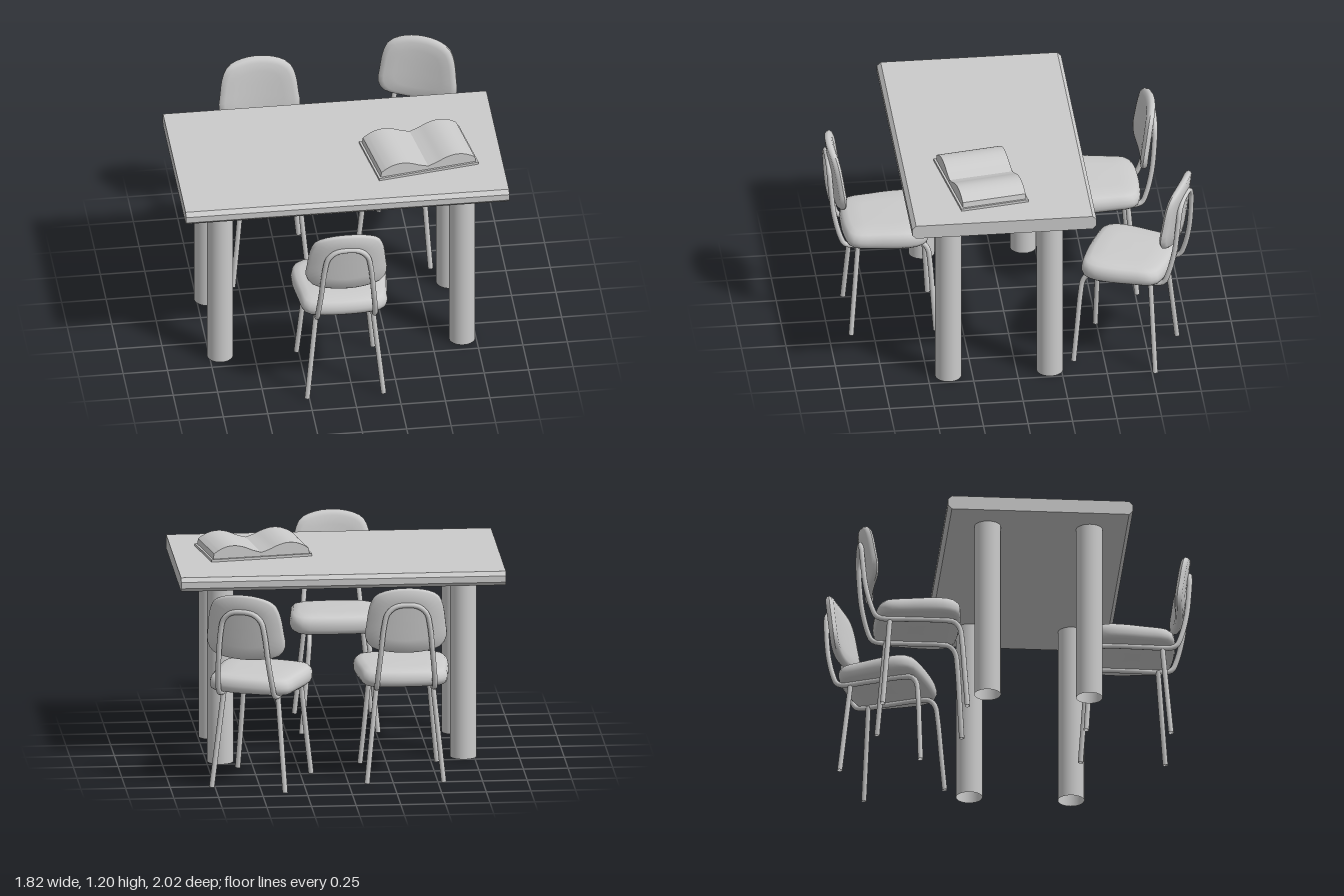
import * as THREE from 'three';
import { toCreasedNormals } from 'three/addons/utils/BufferGeometryUtils.js';

const grey = new THREE.MeshStandardMaterial({ color: 0xcccccc });
const greyOpen = new THREE.MeshStandardMaterial({ color: 0xcccccc, side: THREE.DoubleSide });

function add(parent, name, geometry, material = grey) {
  const mesh = new THREE.Mesh(geometry, material);
  mesh.name = name;
  parent.add(mesh);
  return mesh;
}

// Closed symmetric outline from its right half, listed bottom to top
function outline(half, count) {
  const right = half.map(([a, b]) => new THREE.Vector3(a, b, 0));
  const left = half.map(([a, b]) => new THREE.Vector3(-a, b, 0)).reverse();
  return new THREE.CatmullRomCurve3([...right, ...left], true).getSpacedPoints(count).slice(0, count);
}

// Cushion: outline shrunk towards its middle at each [scale, height] ring, placed by a rule
function cushion(points, middle, rings, place) {
  const n = points.length, pos = [], index = [];
  for (const [s, h] of rings)
    for (const p of points) pos.push(...place(p.x * s, middle + (p.y - middle) * s, h));
  for (let r = 0; r < rings.length - 1; r++)
    for (let j = 0; j < n; j++) {
      const k = (j + 1) % n, a = r * n, b = a + n;
      index.push(a + j, b + j, b + k, a + j, b + k, a + k);
    }
  const g = new THREE.BufferGeometry();
  g.setAttribute('position', new THREE.Float32BufferAttribute(pos, 3));
  g.setIndex(index);
  g.computeVertexNormals();
  return toCreasedNormals(g, 0.9);
}

function tube(points, segments, radius = 0.015) {
  const curve = new THREE.CatmullRomCurve3(points.map(p => new THREE.Vector3(...p)));
  return new THREE.TubeGeometry(curve, segments, radius, 10);
}

// Chair facing +z, with its back feet on z = 0
function createChair(name) {
  const chair = new THREE.Group();
  chair.name = name;

  // Seat pad, wider at the front
  const seatLine = outline([[0.12, -0.443], [0.22, -0.425], [0.258, -0.37], [0.265, -0.28],
    [0.25, -0.13], [0.237, -0.03], [0.215, 0.005], [0.12, 0.03]], 44);
  add(chair, 'seat', cushion(seatLine, -0.2,
    [[0.001, 0.658], [0.5, 0.657], [0.8, 0.654], [0.92, 0.645], [0.98, 0.628], [1, 0.605],
      [1, 0.585], [0.975, 0.568], [0.93, 0.557], [0.001, 0.557]],
    (x, b, h) => [x, h + (h > 0.6 ? -(b + 0.2) * 0.03 : 0), -b]));

  // Curved, leaning backrest
  const backLine = outline([[0.09, 0.768], [0.195, 0.795], [0.228, 0.85], [0.222, 0.93],
    [0.205, 1.04], [0.175, 1.1], [0.08, 1.138]], 40);
  add(chair, 'backrest', cushion(backLine, 0.95,
    [[0.001, 0.026], [0.3, 0.026], [0.6, 0.025], [0.85, 0.022], [0.95, 0.014], [1, 0],
      [0.985, -0.015], [0.94, -0.024], [0.6, -0.025], [0.3, -0.025], [0.001, -0.025]],
    (x, y, h) => [x, y, h - 0.055 - (y - 0.77) * 0.12 + 0.6 * x * x]));

  // One bent tube: front leg, seat rail, arch behind the backrest, and down again
  const side = [[0.215, 0, 0.475], [0.195, 0.2, 0.462], [0.175, 0.42, 0.447], [0.168, 0.5, 0.435],
    [0.164, 0.538, 0.405], [0.162, 0.548, 0.35], [0.162, 0.548, 0.15], [0.162, 0.548, 0],
    [0.162, 0.562, -0.033], [0.16, 0.61, -0.056], [0.147, 0.75, -0.09], [0.128, 0.93, -0.108],
    [0.11, 1.0, -0.112], [0.065, 1.04, -0.114]];
  const mirrored = side.map(([x, y, z]) => [-x, y, z]).reverse();
  add(chair, 'frameTube', tube([...side, [0, 1.05, -0.115], ...mirrored], 150), greyOpen);

  // Back legs
  for (const s of [1, -1])
    add(chair, 'backLeg', tube([[s * 0.158, 0.55, 0.045], [s * 0.215, 0, 0]], 1), greyOpen);
  return chair;
}

function createTable() {
  const table = new THREE.Group();
  table.name = 'table';

  // Top with chamfered long edges
  const [f, b, lo, hi, c] = [-0.613, 0.423, 1.035, 1.115, 0.022];
  const profile = new THREE.Shape([[f + c, lo], [b - c, lo], [b, lo + c], [b, hi - c],
    [b - c, hi], [f + c, hi], [f, hi - c], [f, lo + c]].map(p => new THREE.Vector2(...p)));
  const top = new THREE.ExtrudeGeometry(profile, { depth: 1.82, bevelEnabled: false });
  top.translate(0, 0, -0.91).rotateY(Math.PI / 2);
  add(table, 'tableTop', top);

  // Round legs
  for (const x of [-0.69, 0.672])
    for (const z of [0.385, -0.185])
      add(table, 'tableLeg', new THREE.CylinderGeometry(0.074, 0.074, 1.036, 24, 1, true), greyOpen)
        .position.set(x, 0.518, z);
  return table;
}

// Open book with two arched halves
function createBook() {
  const book = new THREE.Group();
  book.name = 'openBook';
  add(book, 'bookCover', new THREE.BoxGeometry(0.579, 0.014, 0.388)).position.y = 0.007;
  const half = [[0.05, 0.052], [0.1, 0.073], [0.15, 0.084], [0.2, 0.08], [0.245, 0.062], [0.272, 0.044]];
  const arch = [[0, 0.036], ...half].map(p => new THREE.Vector2(...p));
  for (const s of [1, -1]) {
    const shape = new THREE.Shape();
    shape.moveTo(0, 0.012);
    shape.lineTo(s * 0.278, 0.012);
    shape.lineTo(s * 0.272, 0.044);
    shape.splineThru(arch.slice(0, -1).reverse().map(p => new THREE.Vector2(s * p.x, p.y)));
    const g = new THREE.ExtrudeGeometry(shape, { depth: 0.364, bevelEnabled: false, curveSegments: 3 });
    g.translate(0, 0, -0.182);
    add(book, 'pages', toCreasedNormals(g, 0.6));
  }
  return book;
}

export function createModel() {
  const model = new THREE.Group();
  model.name = 'tableWithChairs';
  model.add(createTable());

  const book = createBook();
  book.position.set(0.456, 1.115, 0.177);
  book.rotation.y = 0.165;
  model.add(book);

  // Chairs: name, x, z, turn
  for (const [name, x, z, turn] of [['frontChair', -0.047, 0.875, Math.PI],
    ['backRightChair', -0.317, -0.76, 0], ['backLeftChair', 0.57, -0.85, -0.394]]) {
    const chair = createChair(name);
    chair.position.set(x, 0, z);
    chair.rotation.y = turn;
    model.add(chair);
  }
  return model;
}
